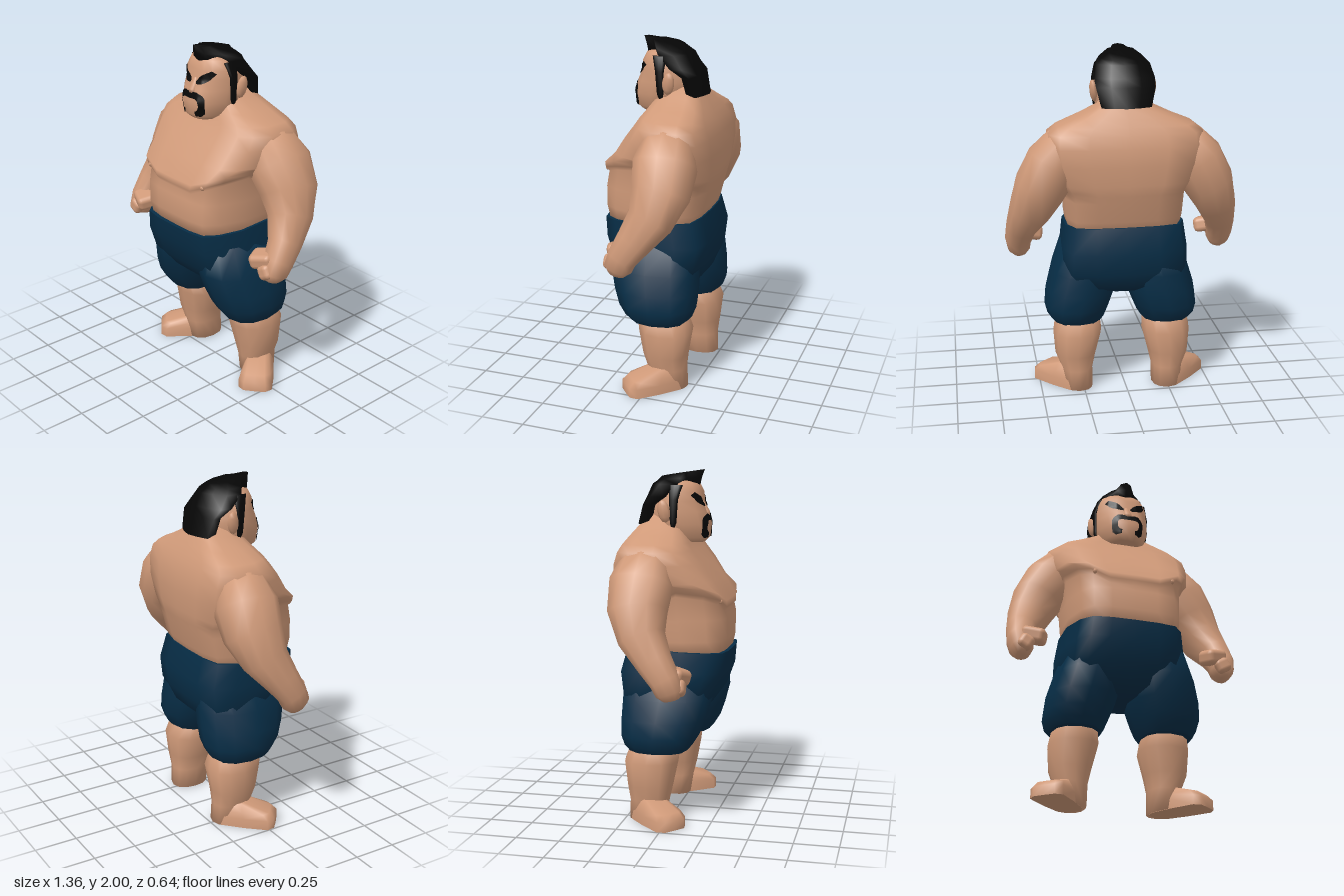
import * as THREE from 'three';
import { RoundedBoxGeometry } from 'three/addons/geometries/RoundedBoxGeometry.js';

const material = (name, color) => {
  const m = new THREE.MeshStandardMaterial({ color });
  m.name = name;
  return m;
};
const V = (x, y, z) => new THREE.Vector3(x, y, z);

// Completes a half outline that runs from front (0,1) to back (0,-1)
const mirrorOutline = (half) => [...half, ...half.slice(1, -1).reverse().map(([u, v]) => [-u, v])];
const polygon = (n, e = 1) => Array.from({ length: n }, (_, i) => {
  const a = (i / n) * Math.PI * 2;
  const p = (t) => Math.sign(t) * Math.abs(t) ** e;
  return [p(Math.sin(a)), p(Math.cos(a))];
});

const TORSO = mirrorOutline([[0, 1], [0.4, 0.99], [0.7, 0.93], [0.87, 0.68], [1, 0.2], [1, -0.5], [0.87, -0.88], [0.5, -0.98], [0, -1]]);
const HEAD = mirrorOutline([[0, 1], [0.4, 0.97], [0.7, 0.74], [0.98, 0.2], [1, -0.3], [0.6, -1], [0, -1]]);
const HAIR = mirrorOutline([[0, 1], [0.4, 0.85], [0.6, 0.42], [0.98, 0.22], [1, -0.45], [0.5, -0.8], [0, -1]]);
const FOOT = mirrorOutline([[0, 1], [0.65, 0.99], [1, 0.8], [0.95, 0], [0.78, -0.75], [0.45, -1], [0, -1]]);
const ROUND = polygon(12, 0.85);

// Horizontal cross-section; slope tilts it along z, lift raises its front corners
const ring = (shape, y, hw, zf, zb, { cx = 0, slope = 0, lift = 0 } = {}) => shape.map(([u, v]) => {
  const z = (zf + zb) / 2 + (v * (zf - zb)) / 2;
  return V(cx + u * hw, y + slope * z + (v > 0 ? lift * Math.max(0, Math.abs(u) - 0.4) : 0), z);
});

// Cross-sections set square to a path of [x, y, z, side radius, depth radius]
const tubeRings = (path) => path.map(([x, y, z, ra, rb], i) => {
  const a = path[Math.max(0, i - 1)], b = path[Math.min(path.length - 1, i + 1)];
  const t = V(b[0] - a[0], b[1] - a[1], b[2] - a[2]).normalize();
  const side = V(1, 0, 0).addScaledVector(t, -t.x).normalize();
  const depth = V(0, 0, 0).crossVectors(side, t);
  return ROUND.map(([u, v]) => V(x, y, z).addScaledVector(side, u * ra).addScaledVector(depth, v * rb));
});

// Closed skin over cross-sections, turned outward by its signed volume
function loft(name, rings, mat) {
  const n = rings[0].length, pts = rings.flat(), idx = [];
  const centre = (r) => r.reduce((s, p) => s.add(p), V(0, 0, 0)).divideScalar(n);
  for (let i = 0; i < rings.length - 1; i++) {
    for (let j = 0; j < n; j++) {
      const a = i * n + j, b = i * n + ((j + 1) % n);
      idx.push(a, b, a + n, b, b + n, a + n);
    }
  }
  const last = (rings.length - 1) * n, c0 = pts.length;
  const all = [...pts, centre(rings[0]), centre(rings[rings.length - 1])];
  for (let j = 0; j < n; j++) {
    const k = (j + 1) % n;
    idx.push(c0, k, j, c0 + 1, last + j, last + k);
  }
  let volume = 0;
  for (let i = 0; i < idx.length; i += 3) {
    volume += all[idx[i]].dot(V(0, 0, 0).crossVectors(all[idx[i + 1]], all[idx[i + 2]]));
  }
  if (volume < 0) idx.reverse();
  const g = new THREE.BufferGeometry().setFromPoints(all);
  g.setIndex(idx);
  g.computeVertexNormals();
  const mesh = new THREE.Mesh(g, mat);
  mesh.name = name;
  return mesh;
}

// Thin strip laid on the front of a surface; points are [x, y, half width]
function faceStrip(name, points, surface, mat) {
  const ray = new THREE.Raycaster(), pts = [], idx = [];
  const curve = new THREE.CatmullRomCurve3(points.map(([x, y, w]) => V(x, y, w)));
  const N = 24, M = 4;
  for (let i = 0; i <= N; i++) {
    const p = curve.getPoint(i / N), t = curve.getTangent(i / N);
    const side = V(-t.y, t.x, 0).normalize();
    for (let j = 0; j <= M; j++) {
      const o = p.z * ((j / M) * 2 - 1);
      const q = V(p.x + side.x * o, p.y + side.y * o, 1);
      ray.set(q, V(0, 0, -1));
      const hit = ray.intersectObject(surface)[0];
      pts.push(V(q.x, q.y, (hit ? hit.point.z : 0.12) + 0.006));
      if (i < N && j < M) {
        const a = i * (M + 1) + j, b = a + M + 1;
        idx.push(a, b, a + 1, b, b + 1, a + 1);
      }
    }
  }
  const g = new THREE.BufferGeometry().setFromPoints(pts);
  g.setIndex(idx);
  g.computeVertexNormals();
  const mesh = new THREE.Mesh(g, mat);
  mesh.name = name;
  return mesh;
}

export function createModel() {
  const model = new THREE.Group();
  model.name = 'wrestler';
  const skin = material('skin', 0xd09a79);
  const cloth = material('shorts blue', 0x072d46);
  const black = material('hair black', 0x060606);
  black.side = THREE.DoubleSide;
  const add = (name, geometry, mat, x, y, z) => {
    const m = new THREE.Mesh(geometry, mat);
    m.name = name;
    m.position.set(x, y, z);
    model.add(m);
    return m;
  };

  // Torso with a fold below the chest, sloping into the neck
  const fold = { lift: 0.16 };
  model.add(loft('torso', [
    ring(TORSO, 0.95, 0.32, 0.295, -0.23), ring(TORSO, 1.05, 0.335, 0.315, -0.265),
    ring(TORSO, 1.17, 0.34, 0.315, -0.295), ring(TORSO, 1.21, 0.345, 0.297, -0.305, fold),
    ring(TORSO, 1.235, 0.365, 0.314, -0.31, fold), ring(TORSO, 1.27, 0.385, 0.312, -0.315, fold),
    ring(TORSO, 1.38, 0.42, 0.24, -0.322), ring(TORSO, 1.48, 0.44, 0.17, -0.312),
    ring(TORSO, 1.55, 0.435, 0.115, -0.287), ring(TORSO, 1.59, 0.385, 0.092, -0.268),
    ring(TORSO, 1.635, 0.275, 0.065, -0.245), ring(TORSO, 1.69, 0.16, 0.03, -0.21),
    ring(TORSO, 1.75, 0.1, 0, -0.17),
  ], skin));

  // Shorts: waist and seat
  const tilt = { slope: -0.06 };
  model.add(loft('shortsSeat', [
    ring(TORSO, 1.0, 0.343, 0.322, -0.262, tilt), ring(TORSO, 1.0, 0.343, 0.322, -0.262, tilt),
    ring(TORSO, 0.87, 0.36, 0.312, -0.302), ring(TORSO, 0.74, 0.365, 0.265, -0.282),
    ring(TORSO, 0.65, 0.3, 0.2, -0.25), ring(TORSO, 0.61, 0.12, 0.12, -0.19),
  ], cloth));

  // Head
  const head = loft('head', [
    ring(HEAD, 1.588, 0.095, 0.15, -0.06), ring(HEAD, 1.615, 0.128, 0.178, -0.1),
    ring(HEAD, 1.69, 0.155, 0.186, -0.14), ring(HEAD, 1.76, 0.16, 0.168, -0.14),
    ring(HEAD, 1.82, 0.16, 0.142, -0.12), ring(HEAD, 1.87, 0.152, 0.14, -0.09),
    ring(HEAD, 1.92, 0.13, 0.115, -0.05), ring(HEAD, 1.945, 0.07, 0.07, -0.02),
  ], skin);
  head.updateMatrixWorld(true);
  model.add(head);
  model.add(loft('nose', [
    ring(ROUND, 1.74, 0.024, 0.182, 0.13), ring(ROUND, 1.76, 0.025, 0.182, 0.13),
    ring(ROUND, 1.82, 0.012, 0.146, 0.11),
  ], skin));

  // Hair cap rising to a quiff at the front
  model.add(loft('hair', [
    ring(HAIR, 1.69, 0.14, -0.09, -0.238), ring(HAIR, 1.69, 0.14, -0.09, -0.238),
    ring(HAIR, 1.8, 0.166, -0.075, -0.205), ring(HAIR, 1.845, 0.168, 0.03, -0.188),
    ring(HAIR, 1.915, 0.15, 0.125, -0.155), ring(HAIR, 1.945, 0.125, 0.135, -0.125, { slope: 0.08 }),
    ring(HAIR, 1.975, 0.075, 0.15, -0.1, { slope: 0.15 }),
  ], black));

  // Horseshoe moustache
  model.add(faceStrip('moustache', [
    [-0.04, 1.63, 0.012], [-0.068, 1.633, 0.02], [-0.08, 1.67, 0.014], [-0.076, 1.712, 0.018], [-0.048, 1.73, 0.019],
    [0, 1.727, 0.016],
    [0.048, 1.73, 0.019], [0.076, 1.712, 0.018], [0.08, 1.67, 0.014], [0.068, 1.633, 0.02], [0.04, 1.63, 0.012],
  ], head, black));

  for (const s of [1, -1]) {
    const side = s > 0 ? 'left' : 'right';
    const flip = (rings) => rings.map((r) => r.map((p) => V(p.x * s, p.y, p.z)));

    // Brow, sideburn and ear
    model.add(faceStrip(side + 'Brow', [
      [s * 0.022, 1.797, 0.008], [s * 0.05, 1.812, 0.02], [s * 0.085, 1.835, 0.021], [s * 0.115, 1.862, 0.012],
    ], head, black));
    model.add(loft(side + 'Sideburn', flip([
      ring(ROUND, 1.665, 0.01, 0.005, -0.01, { cx: 0.15 }), ring(ROUND, 1.7, 0.012, 0.02, -0.018, { cx: 0.155 }),
      ring(ROUND, 1.83, 0.012, 0.03, -0.022, { cx: 0.159 }), ring(ROUND, 1.91, 0.018, 0.052, -0.03, { cx: 0.134 }),
    ]), black));
    const ear = add(side + 'Ear', new THREE.SphereGeometry(1, 8, 6), skin, s * 0.167, 1.765, -0.05);
    ear.scale.set(0.022, 0.065, 0.036);
    ear.rotation.set(-0.15, 0, -s * 0.12);

    // Arm and closed fist
    model.add(loft(side + 'Arm', flip(tubeRings([
      [0.24, 1.47, -0.12, 0.1, 0.12], [0.355, 1.435, -0.115, 0.145, 0.15], [0.41, 1.37, -0.12, 0.158, 0.178],
      [0.487, 1.235, -0.12, 0.147, 0.165], [0.543, 1.1, -0.08, 0.118, 0.13], [0.588, 0.98, 0.0, 0.088, 0.1],
      [0.602, 0.89, 0.06, 0.078, 0.085], [0.598, 0.83, 0.085, 0.068, 0.08], [0.59, 0.79, 0.095, 0.04, 0.05],
    ])), skin));
    const fingers = add(side + 'Fingers', new RoundedBoxGeometry(0.14, 0.09, 0.12, 2, 0.03), skin, s * 0.535, 0.905, 0.11);
    fingers.rotation.set(0.2, s * 0.4, s * 0.15);
    const thumb = add(side + 'Thumb', new RoundedBoxGeometry(0.09, 0.09, 0.07, 2, 0.03), skin, s * 0.585, 0.85, 0.135);
    thumb.rotation.z = s * 0.5;
    add(side + 'Nipple', new THREE.SphereGeometry(0.016, 8, 6), skin, s * 0.23, 1.275, 0.286);

    // Leg of the shorts, calf and foot
    const leg = new THREE.Group();
    leg.name = side + 'Leg';
    leg.position.set(0.015, 0, s > 0 ? 0.01 : -0.015);
    const R = (y, cx, hw, zf, zb) => ring(ROUND, y, hw, zf, zb, { cx });
    leg.add(loft(side + 'ShortsLeg', flip([
      R(0.9, 0.19, 0.15, 0.25, -0.25), R(0.72, 0.212, 0.194, 0.256, -0.27), R(0.6, 0.238, 0.203, 0.222, -0.272),
      R(0.51, 0.26, 0.19, 0.188, -0.268), R(0.45, 0.265, 0.17, 0.15, -0.245), R(0.415, 0.262, 0.145, 0.12, -0.215),
      R(0.415, 0.262, 0.145, 0.12, -0.215),
    ]), cloth));
    leg.add(loft(side + 'Calf', flip([
      R(0.47, 0.258, 0.125, 0.085, -0.2), R(0.35, 0.262, 0.143, 0.068, -0.245), R(0.21, 0.275, 0.12, 0.04, -0.225),
      R(0.12, 0.268, 0.092, 0.018, -0.215), R(0.002, 0.262, 0.085, 0, -0.22),
    ]), skin));
    const turn = (r) => r.map((p) => p.applyAxisAngle(V(0, 1, 0), 0.7).add(V(0.268, 0, -0.135)));
    leg.add(loft(side + 'Foot', flip([
      ring(FOOT, 0, 0.1, 0.298, -0.06), ring(FOOT, 0, 0.1, 0.298, -0.06), ring(FOOT, 0.055, 0.098, 0.298, -0.06),
      ring(FOOT, 0.088, 0.085, 0.265, -0.05), ring(FOOT, 0.135, 0.06, 0.12, -0.03),
    ].map(turn)), skin));
    model.add(leg);
  }
  return model;
}
